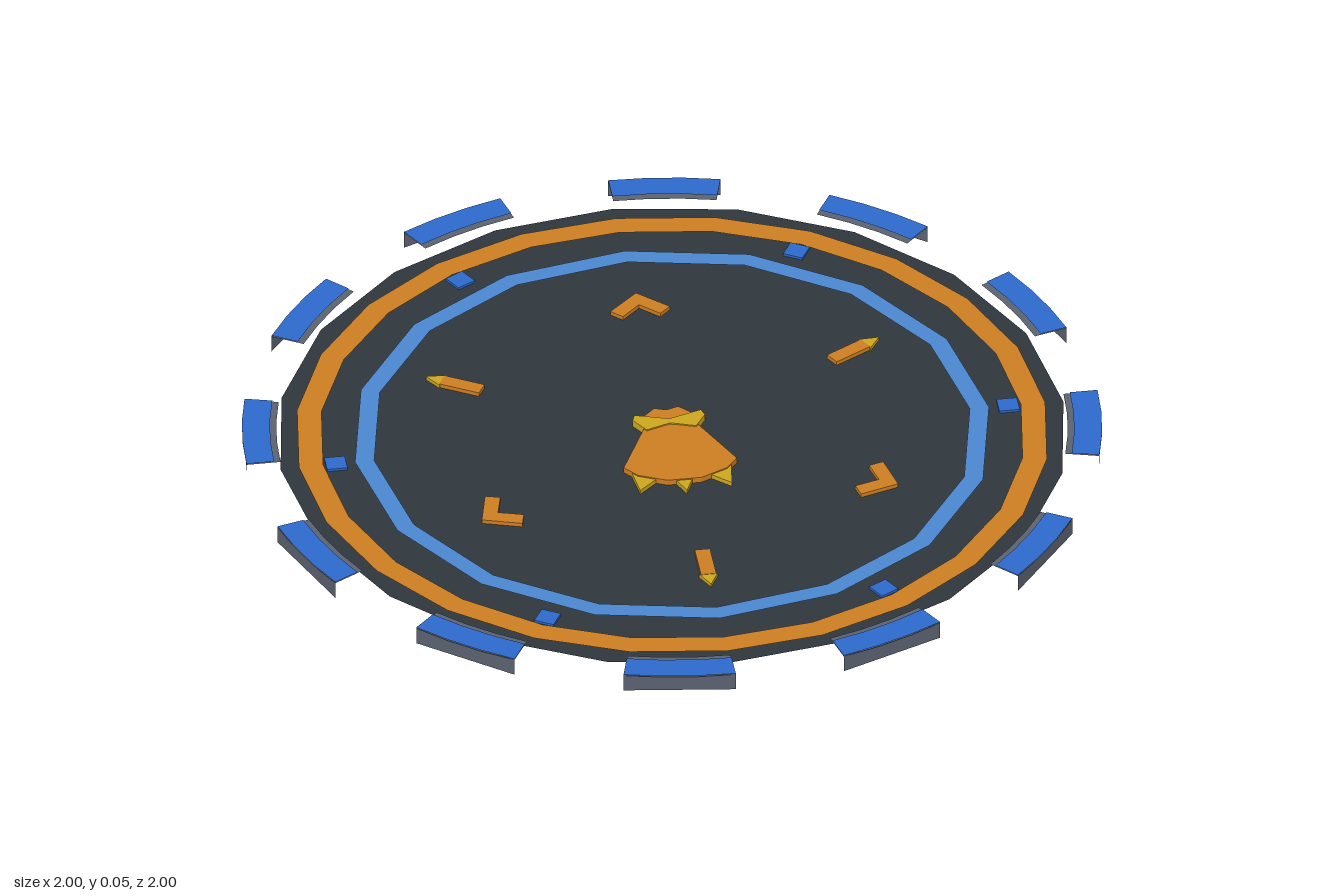
import * as THREE from 'three';

const mat = (name, color, extra = {}) => {
  const m = new THREE.MeshStandardMaterial({ color, ...extra });
  m.name = name;
  return m;
};

export function createModel() {
  const root = new THREE.Group();
  root.name = 'roundPlatform';
  const two = { side: THREE.DoubleSide };
  const dark = mat('darkSlate', 0x2f373c, two);
  const steel = mat('steelGrey', 0x5a6170, { ...two, flatShading: true });
  const orange = mat('orange', 0xcc7d22);
  const yellow = mat('yellow', 0xcca61f);
  const blue = mat('blue', 0x2d69cc, two);
  const lightBlue = mat('lightBlue', 0x4b86d0);

  const FLOOR = 0.02, TOP = 0.045, STEP = Math.PI / 12;

  const add = (parent, name, geometry, material) => {
    const mesh = new THREE.Mesh(geometry, material);
    mesh.name = name;
    parent.add(mesh);
    return mesh;
  };
  // Flat ring, or part of one, lying at height y
  const ring = (inner, outer, sides, y, start = 0, length = Math.PI * 2) =>
    new THREE.RingGeometry(inner, outer, sides, 1, start, length).rotateX(-Math.PI / 2).translate(0, y, 0);
  // Raised plate from an [x, z] outline, reaching from the floor to height top
  const plate = (points, top) => {
    const shape = new THREE.Shape(points.map(([x, z]) => new THREE.Vector2(x, z)));
    return new THREE.ExtrudeGeometry(shape, { depth: top - FLOOR, bevelEnabled: false })
      .rotateX(Math.PI / 2).translate(0, top, 0);
  };
  // Full outline from its right half
  const mirrored = (half) => [...half, ...half.filter(([x]) => x > 0).map(([x, z]) => [-x, z]).reverse()];

  // Floor and its painted rings
  add(root, 'floorDisc', new THREE.CircleGeometry(0.92, 20).rotateX(-Math.PI / 2).translate(0, FLOOR, 0), dark);
  add(root, 'outerRing', ring(0.82, 0.877, 24, FLOOR + 0.003), orange);
  add(root, 'innerRing', ring(0.7, 0.745, 16, FLOOR + 0.003), lightBlue);

  // Rim guards: outer wall, ledge and blue cap on every other segment
  for (let i = 0; i < 12; i++) {
    const guard = new THREE.Group();
    guard.name = 'rimGuard';
    guard.rotation.y = i * STEP * 2;
    add(guard, 'guardWall',
      new THREE.CylinderGeometry(1, 1, TOP, 1, 1, true, -STEP, STEP).translate(0, TOP / 2, 0), steel);
    add(guard, 'guardLedge', ring(0.92, 1, 1, TOP - 0.003, -STEP, STEP), steel);
    add(guard, 'guardCap', ring(0.935, 1, 1, TOP, -STEP, STEP), blue);
    root.add(guard);
  }

  // Small blue markers between the two rings
  for (let i = 0; i < 6; i++) {
    const marker = add(root, 'ringMarker',
      new THREE.BoxGeometry(0.048, 0.006, 0.048).translate(0.79, FLOOR + 0.003, 0), blue);
    marker.rotation.y = i * Math.PI / 3;
  }

  // Three chevrons and three pointers around the middle
  const chevron = mirrored([[0, -0.565], [0.07, -0.5], [0.044, -0.475], [0, -0.517]]);
  // Keep the outline in order: out along the right arm, back along the left
  const chevronOutline = [chevron[0], chevron[1], chevron[2], chevron[3], chevron[4], chevron[5]];
  for (let i = 0; i < 3; i++) {
    const group = new THREE.Group();
    group.name = 'floorSigns';
    group.rotation.y = i * Math.PI * 2 / 3;
    add(group, 'chevron', plate(chevronOutline, 0.03), orange);
    add(group, 'pointerShaft', plate([[-0.018, 0.475], [0.018, 0.475], [0.018, 0.575], [-0.018, 0.575]], 0.03), orange);
    add(group, 'pointerTip', plate([[-0.022, 0.572], [0.022, 0.572], [0, 0.615]], 0.029), yellow);
    root.add(group);
  }

  // Central emblem: skirt, spikes, head and collar
  const emblem = new THREE.Group();
  emblem.name = 'centreEmblem';
  add(emblem, 'emblemSkirt',
    plate(mirrored([[0.06, -0.025], [0.133, 0.13], [0.105, 0.165], [0.04, 0.195]]), 0.034), orange);
  for (const s of [-1, 1]) {
    add(emblem, 'sideSpike', plate([[s * 0.05, 0.17], [s * 0.118, 0.14], [s * 0.108, 0.222]], 0.031), yellow);
  }
  add(emblem, 'middleSpike', plate([[-0.025, 0.18], [0.025, 0.18], [0, 0.237]], 0.031), yellow);
  add(emblem, 'emblemHead', plate(mirrored([[0, -0.085], [0.028, -0.095], [0.058, -0.065], [0, -0.025]]), 0.034), orange);
  add(emblem, 'emblemCollar',
    plate(mirrored([[0, -0.045], [0.078, -0.07], [0.085, -0.05], [0.058, -0.008], [0, -0.028]]), 0.037), yellow);
  root.add(emblem);

  return root;
}
